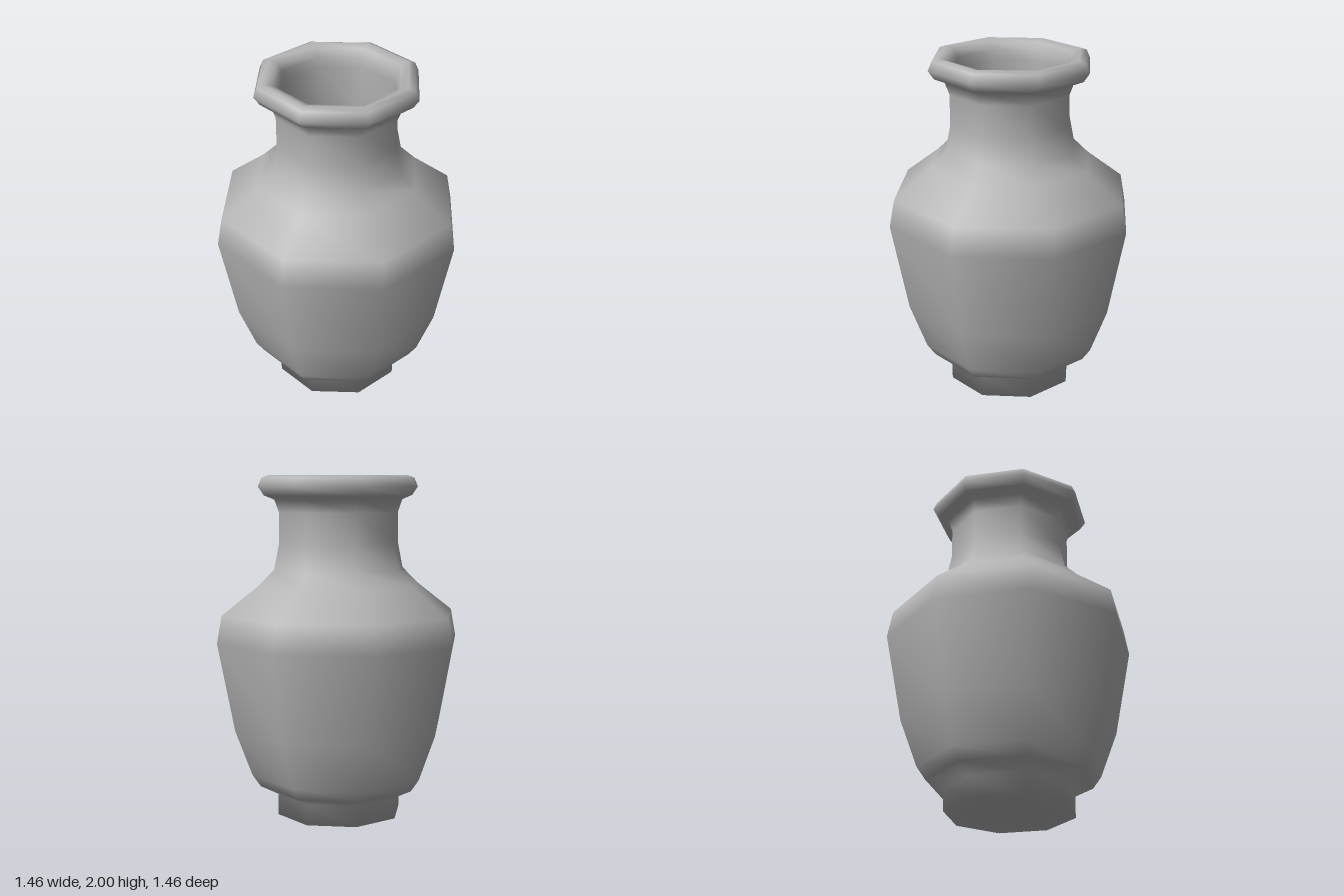
import * as THREE from 'three';
import { mergeVertices } from 'three/addons/utils/BufferGeometryUtils.js';

const SIDES = 8;

// Eight-sided turned shape with normals smoothed across every edge
function turned(profile) {
  const geometry = new THREE.LatheGeometry(profile.map(([r, y]) => new THREE.Vector2(r, y)), SIDES);
  geometry.deleteAttribute('uv');
  geometry.deleteAttribute('normal');
  const welded = mergeVertices(geometry, 1e-4);
  welded.computeVertexNormals();
  return welded;
}

export function createModel() {
  const model = new THREE.Group();
  model.name = 'vase';
  const clay = new THREE.MeshStandardMaterial({ color: 0xb4b4b4 });
  clay.name = 'grey clay';

  // Underside and foot ring
  const foot = [[0, 0], [0.375, 0], [0.375, 0.125]];
  // Belly, shoulder and neck
  const body = [
    [0.48, 0.178], [0.53, 0.25], [0.63, 0.52], [0.73, 1.04], [0.70, 1.2],
    [0.48, 1.37], [0.39, 1.46], [0.36, 1.61], [0.36, 1.79],
  ];
  // Rolled lip
  const lip = [
    [0.386, 1.86], [0.447, 1.885], [0.482, 1.935], [0.46, 1.985],
    [0.42, 2.0], [0.37, 1.985], [0.345, 1.94], [0.338, 1.88],
  ];
  // Hollow inside, down to the floor
  const hollow = [
    [0.338, 1.6], [0.365, 1.45], [0.45, 1.35], [0.665, 1.18], [0.695, 1.04],
    [0.6, 0.53], [0.5, 0.27], [0.36, 0.15], [0, 0.14],
  ];

  const vessel = new THREE.Mesh(turned([...foot, ...body, ...lip, ...hollow]), clay);
  vessel.name = 'vessel';
  model.add(vessel);
  return model;
}
